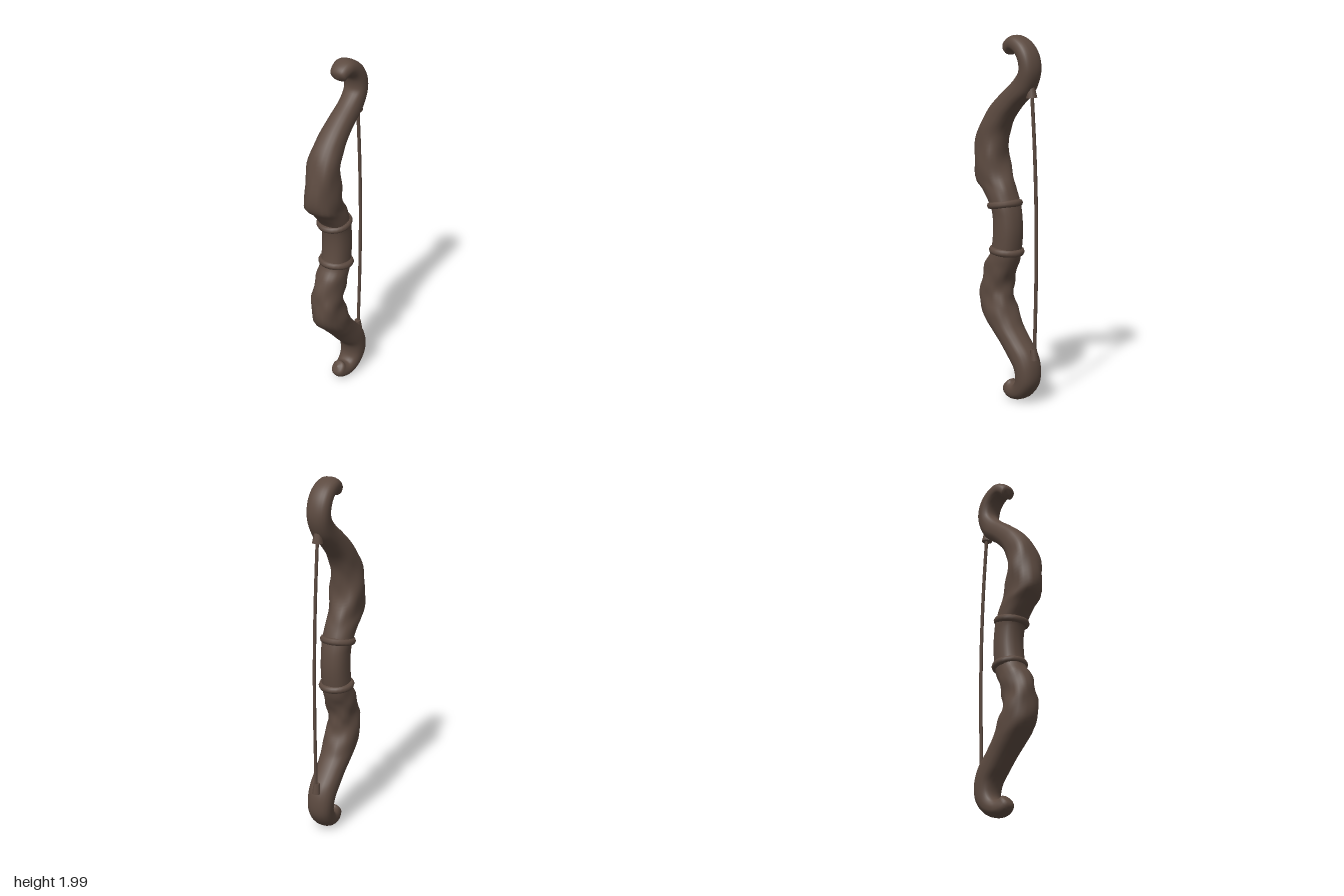
import * as THREE from 'three';

const SIDES = 20, STEPS = 6;

// Limb sections from bottom tip to top tip: string-side edge x, y, far edge x, y, half depth
const SECTIONS = [
  [-0.03, 0.065, 0.025, 0.12, 0.035], [-0.005, 0.022, 0.045, 0.1, 0.045],
  [0.06, 0.004, 0.066, 0.097, 0.055], [0.145, 0.03, 0.085, 0.118, 0.063],
  [0.208, 0.11, 0.09, 0.15, 0.07], [0.215, 0.2, 0.077, 0.2, 0.075],
  [0.19, 0.28, 0.03, 0.255, 0.078], [0.125, 0.357, -0.03, 0.325, 0.08],
  [0.075, 0.42, -0.087, 0.385, 0.085], [0.04, 0.495, -0.165, 0.475, 0.09],
  [0.01, 0.57, -0.182, 0.585, 0.084], [0.01, 0.64, -0.172, 0.67, 0.078],
  [0.03, 0.715, -0.14, 0.76, 0.082], [0.058, 0.785, -0.1, 0.825, 0.078],
  [0.077, 0.92, -0.082, 0.94, 0.077], [0.073, 1.01, -0.087, 1.04, 0.078],
  [0.06, 1.075, -0.1, 1.08, 0.082], [0.034, 1.155, -0.165, 1.165, 0.084],
  [0, 1.235, -0.222, 1.228, 0.086], [-0.034, 1.34, -0.217, 1.37, 0.092],
  [-0.03, 1.45, -0.182, 1.51, 0.083], [0.008, 1.537, -0.108, 1.617, 0.074],
  [0.08, 1.617, -0.02, 1.697, 0.065], [0.17, 1.695, 0.065, 1.765, 0.061],
  [0.21, 1.8, 0.108, 1.815, 0.064], [0.195, 1.895, 0.104, 1.865, 0.066],
  [0.145, 1.963, 0.077, 1.9, 0.064], [0.065, 1.998, 0.045, 1.912, 0.06],
  [0.005, 1.975, 0.03, 1.902, 0.052], [-0.025, 1.935, 0.017, 1.885, 0.042],
];

// Lofts rounded sections between the two edge curves, with gnarled bark on the thick parts
function limbGeometry() {
  const last = SECTIONS.length - 1, rows = last * STEPS;
  const near = new THREE.CatmullRomCurve3(SECTIONS.map(s => new THREE.Vector3(s[0], s[1], s[4])));
  const far = new THREE.CatmullRomCurve3(SECTIONS.map(s => new THREE.Vector3(s[2], s[3], 0)));
  const power = v => Math.sign(v) * Math.abs(v) ** 0.85;
  const bump = (k, lo, hi) => Math.max(0, Math.sin(Math.PI * THREE.MathUtils.clamp((k - lo) / (hi - lo), 0, 1)));
  const pos = [], index = [];
  for (let i = 0; i <= rows; i++) {
    const a = near.getPoint(i / rows), b = far.getPoint(i / rows), k = i / STEPS;
    const end = Math.min(1, Math.min(k, last - k) / 0.5);
    const round = Math.sqrt(1 - (1 - end) ** 2);
    const gnarl = bump(k, 8, 13) + bump(k, 16.5, 21);
    for (let j = 0; j < SIDES; j++) {
      const t = j / SIDES * Math.PI * 2;
      const bark = 0.045 * Math.sin(3 * t + 2.6 * k) + 0.03 * Math.sin(5 * t - 4.1 * k);
      const r = round * (1 + gnarl * bark);
      const u = power(Math.cos(t)) * r / 2;
      pos.push((a.x + b.x) / 2 + (a.x - b.x) * u, (a.y + b.y) / 2 + (a.y - b.y) * u,
        power(Math.sin(t)) * a.z * r);
      if (i < rows) {
        const p = i * SIDES + j, q = i * SIDES + (j + 1) % SIDES;
        index.push(p, p + SIDES, q, q, p + SIDES, q + SIDES);
      }
    }
  }
  const g = new THREE.BufferGeometry();
  g.setAttribute('position', new THREE.Float32BufferAttribute(pos, 3));
  g.setIndex(index);
  g.computeVertexNormals();
  return g;
}

export function createModel() {
  const model = new THREE.Group();
  const wood = new THREE.MeshStandardMaterial({ color: 0x5c4a40 });
  wood.name = 'dark brown wood';
  const add = (name, geometry, x = 0, y = 0, tilt = 0) => {
    const mesh = new THREE.Mesh(geometry, wood);
    mesh.name = name;
    mesh.position.set(x, y, 0);
    mesh.rotation.z = tilt;
    model.add(mesh);
    return mesh;
  };

  add('bowLimbs', limbGeometry());

  // Rings above and below the grip
  const ring = new THREE.TorusGeometry(0.079, 0.02, 8, 24).rotateX(Math.PI / 2);
  add('upperGripRing', ring, -0.026, 1.085, 0.15);
  add('lowerGripRing', ring, -0.012, 0.83, -0.1);

  // Slightly bowed string
  const path = new THREE.CatmullRomCurve3([[0.175, 1.7], [0.196, 1.4], [0.21, 1.05], [0.211, 0.7], [0.2, 0.27]]
    .map(([x, y]) => new THREE.Vector3(x, y, 0)));
  add('bowString', new THREE.TubeGeometry(path, 24, 0.01, 6));

  // Knots tying the string to the limbs
  add('upperStringKnot', new THREE.CylinderGeometry(0.018, 0.03, 0.07, 8), 0.17, 1.705, 0.1);
  add('lowerStringKnot', new THREE.CylinderGeometry(0.018, 0.024, 0.06, 8), 0.197, 0.28, 0.1);

  return model;
}
